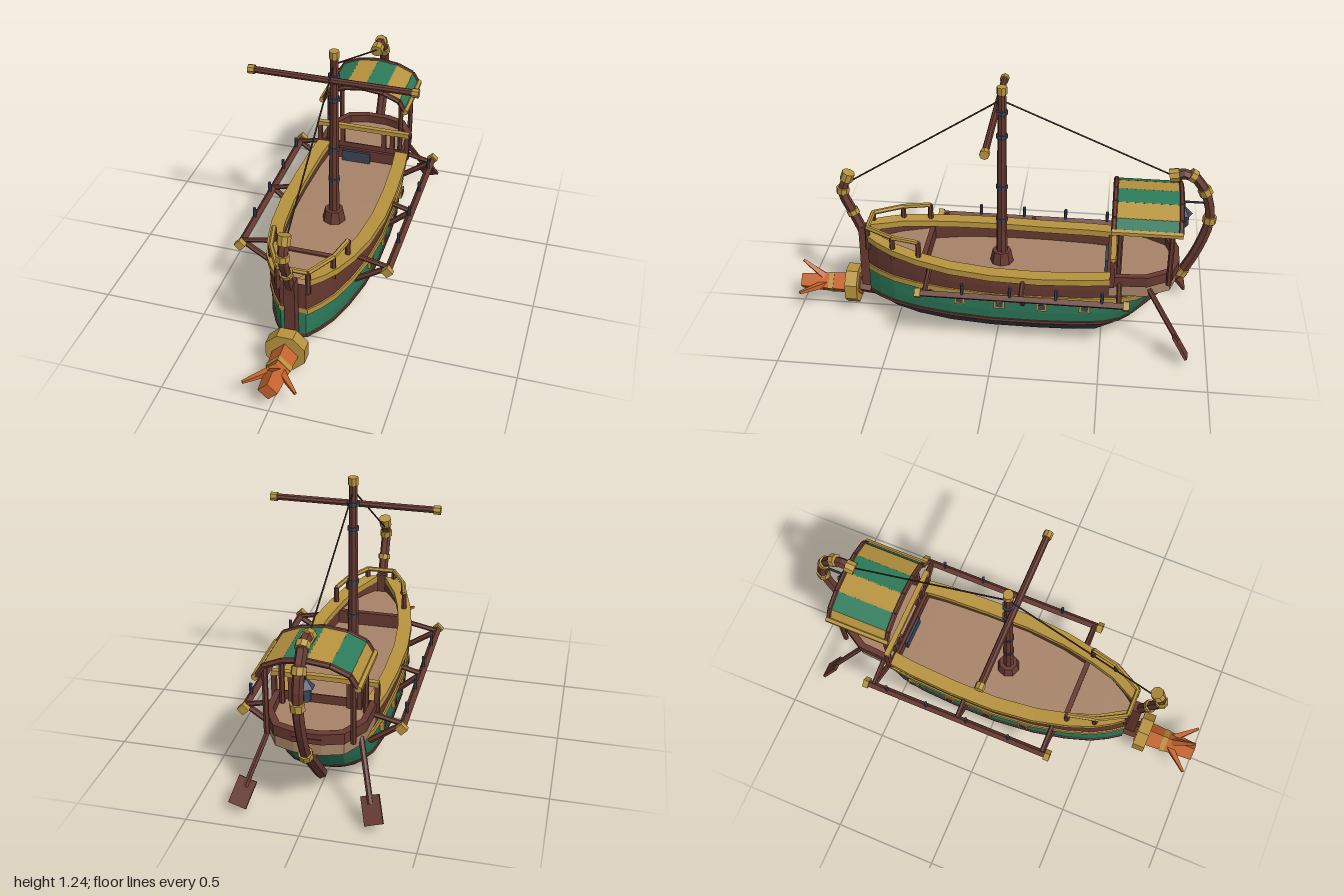
import * as THREE from 'three';

const paint = (name, color) => {
  const m = new THREE.MeshStandardMaterial({ color, flatShading: true });
  m.name = name;
  return m;
};
const wood = paint('red brown wood', 0x663930), gold = paint('gold', 0xb8943f), green = paint('green', 0x2d7b5b);
const keelGrey = paint('charcoal', 0x393b46), deckTan = paint('deck tan', 0xa88469), copper = paint('copper', 0xc5642d);
const iron = paint('iron', 0x3b4556), rope = paint('rope', 0x3d3029);

// Hull stations: z, half width, sheer height, keel height
const STATIONS = [
  [0.64, 0.06, 0.43, 0.12], [0.58, 0.105, 0.42, 0.1], [0.5, 0.15, 0.41, 0.05], [0.38, 0.19, 0.395, 0.02],
  [0.22, 0.225, 0.38, 0.005], [0.02, 0.245, 0.37, 0], [-0.2, 0.245, 0.365, 0], [-0.42, 0.235, 0.37, 0],
  [-0.6, 0.215, 0.375, 0], [-0.72, 0.175, 0.38, 0.04], [-0.8, 0.12, 0.385, 0.09], [-0.83, 0.06, 0.39, 0.12],
];
function at(z, k) {
  let i = 0;
  while (i < STATIONS.length - 2 && STATIONS[i + 1][0] > z) i++;
  const a = STATIONS[i], b = STATIONS[i + 1];
  return THREE.MathUtils.lerp(a[k], b[k], THREE.MathUtils.clamp((a[0] - z) / (a[0] - b[0]), 0, 1));
}
// The stern rakes aft as it rises
const rake = (z, y) => (z > -0.3 ? z : -0.3 + (z + 0.3) * (0.26 + 0.75 * y) / 0.53);

// Skin over rows of points, rows running from bow to stern
function loft(rows, flip) {
  const n = rows[0].length, index = [];
  for (let i = 0; i < rows.length - 1; i++) for (let j = 0; j < n - 1; j++) {
    const a = i * n + j, b = a + 1, c = a + n, d = c + 1;
    index.push(...(flip ? [a, b, c, b, d, c] : [a, c, b, b, c, d]));
  }
  const g = new THREE.BufferGeometry();
  g.setAttribute('position', new THREE.Float32BufferAttribute(rows.flat(2), 3));
  g.setIndex(index);
  g.computeVertexNormals();
  return g;
}

export function createModel() {
  const ship = new THREE.Group();
  ship.name = 'galley';
  const V = (p) => new THREE.Vector3(...p);
  const add = (name, geo, mat, pos = [0, 0, 0]) => {
    const m = new THREE.Mesh(geo, mat);
    m.name = name;
    m.position.set(...pos);
    ship.add(m);
    return m;
  };
  const box = (name, mat, size, pos) => add(name, new THREE.BoxGeometry(...size), mat, pos);
  // Round or faceted rod between two points
  function bar(name, mat, a, b, r, sides = 8, r2 = r, turn = 0) {
    const A = V(a), B = V(b), d = B.clone().sub(A);
    const g = new THREE.CylinderGeometry(r2, r, d.length(), sides).rotateY(turn);
    const m = add(name, g, mat, A.clone().add(B).multiplyScalar(0.5).toArray());
    m.quaternion.setFromUnitVectors(new THREE.Vector3(0, 1, 0), d.normalize());
    return m;
  }

  // Hull bands; section(width, sheer, keel) gives [x, y] from low to high
  function band(name, mat, section) {
    for (const s of [1, -1]) {
      const rows = STATIONS.map(([z, w, sh, k]) => section(w, sh, k).map(([x, y]) => [s * x, y, rake(z, y)]));
      const close = (row) => row.map(([, y, z]) => [0, y, z]);
      rows.unshift(close(rows[0]));
      rows.push(close(rows[rows.length - 1]));
      add(name, loft(rows, s < 0), mat);
    }
  }
  band('hullBottom', keelGrey, (w, sh, k) => [[0, 0], [0.42, 0.12], [0.77, 0.5], [0.95, 1]].map(([x, f]) => [x * w, k + (0.13 - k) * f]));
  band('hullSide', green, (w) => [[0.95 * w, 0.13], [0.985 * w, 0.19], [w, 0.265]]);
  band('upperPlanking', wood, (w, sh) => [[w, 0.28], [w * 1.01, 0.33], [w, sh]]);
  const strake = (x, lo, hi) => [[x - 0.005, lo], [x + 0.007, lo + 0.003], [x + 0.007, hi - 0.003], [x - 0.005, hi]];
  band('waterlineStrake', wood, (w) => strake(0.95 * w, 0.122, 0.142));
  band('goldStrake', gold, (w) => strake(w, 0.255, 0.29));

  // Gunwale cap and inner bulwark
  const rimZ = [0.64, 0.58, 0.5, 0.38, 0.22, 0.02, -0.2, -0.42, -0.53];
  for (const s of [1, -1]) {
    const rim = rimZ.map((z) => {
      const w = at(z, 1), y = at(z, 2), i = Math.max(w - 0.05, 0.02), o = w + 0.017;
      return [[o, y - 0.004], [o, y + 0.028], [i, y + 0.028], [i, y - 0.004], [o, y - 0.004]].map(([x, h]) => [s * x, h, z]);
    });
    add('gunwale', loft(rim, s < 0), gold);
    const wall = rimZ.map((z) => [[s * (at(z, 1) - 0.04), at(z, 2), z], [s * (at(z, 1) - 0.04), 0.3, z]]);
    add('innerBulwark', loft(wall, s < 0), wood);
  }

  // Decks
  const deck = (name, zs, y) => add(name, loft(zs.map((z) => [[at(z, 1) - 0.015, y, z], [0.015 - at(z, 1), y, z]])), deckTan);
  deck('mainDeck', [0.36, 0.22, 0.02, -0.2, -0.42, -0.54], 0.315);
  deck('foredeck', [0.63, 0.58, 0.5, 0.38, 0.36], 0.375);
  box('foredeckBeam', wood, [0.33, 0.075, 0.025], [0, 0.345, 0.357]);

  // Raised stern deck with its low bulwark
  const poop = [[0.225, 0.53], [0.215, 0.7], [0.15, 0.81], [0.06, 0.84]];
  const outline = (k) => [...poop, ...poop.map(([x, z]) => [-x, z]).reverse()].map(([x, z]) => new THREE.Vector2(x * k, 0.53 + (z - 0.53) * k));
  const flat = (shape, h) => new THREE.ExtrudeGeometry(shape, { depth: h, bevelEnabled: false }).rotateX(-Math.PI / 2);
  add('sternDeck', flat(new THREE.Shape(outline(1)), 0.065), deckTan, [0, 0.305, 0]);
  const wallShape = new THREE.Shape(outline(1.03));
  wallShape.holes.push(new THREE.Path(outline(0.9).map((p) => p.add(new THREE.Vector2(0, 0.006)))));
  add('sternBulwark', flat(wallShape, 0.05), wood, [0, 0.362, 0]);
  box('sternStepBeam', wood, [0.43, 0.06, 0.02], [0, 0.355, -0.525]);
  box('sternHatch', iron, [0.15, 0.06, 0.016], [-0.03, 0.345, -0.511]);

  // Stem and stern posts: faceted curved timbers with gold bands
  function post(name, pts, r, bands) {
    const curve = new THREE.CatmullRomCurve3(pts.map(([z, y]) => new THREE.Vector3(0, y, z)));
    add(name, new THREE.TubeGeometry(curve, 12, r, 6), wood);
    for (const [t, len] of bands) {
      const p = curve.getPointAt(t), d = curve.getTangentAt(t).multiplyScalar(len / 2);
      bar(name + 'Band', gold, p.clone().sub(d).toArray(), p.clone().add(d).toArray(), r + 0.007, 8);
    }
  }
  box('stem', wood, [0.05, 0.36, 0.05], [0, 0.285, 0.665]);
  post('stemPost', [[0.67, 0.43], [0.715, 0.54], [0.757, 0.65], [0.728, 0.74]], 0.024, [[0.36, 0.025], [0.74, 0.03], [0.98, 0.045]]);
  bar('sternKnee', wood, [0, 0.07, -0.63], [0, 0.33, -0.87], 0.028, 6);
  post('sternPost', [[-0.86, 0.3], [-0.93, 0.45], [-0.972, 0.62], [-0.94, 0.76], [-0.87, 0.843], [-0.785, 0.835]], 0.025,
    [[0.03, 0.035], [0.49, 0.035], [0.71, 0.035], [0.86, 0.03], [0.985, 0.045]]);

  // Ram: collar, copper head and three spikes
  bar('ramRoot', wood, [0, 0.1, 0.56], [0, 0.12, 0.72], 0.045, 4);
  bar('ramCollar', gold, [0, 0.125, 0.705], [0, 0.125, 0.765], 0.098, 8, 0.098, Math.PI / 8);
  bar('ramHead', copper, [0, 0.12, 0.7], [0, 0.115, 1], 0.066, 4, 0.045);
  bar('ramBand', gold, [0, 0.118, 0.835], [0, 0.118, 0.86], 0.06, 4, 0.058);
  for (const [x, y] of [[0.12, 0.125], [-0.12, 0.125], [0, 0.24]])
    bar('ramSpike', copper, [x * 0.2, 0.12 + (y - 0.12) * 0.2, 0.88], [x, y, 0.985], 0.022, 4, 0.008);

  // Mast, yard and stays
  bar('mast', wood, [0, 0.31, -0.005], [0, 1.21, -0.005], 0.027, 8, 0.019);
  bar('mastStep', wood, [0, 0.31, -0.005], [0, 0.375, -0.005], 0.058, 8, 0.045);
  bar('mastCap', gold, [0, 1.2, -0.005], [0, 1.235, -0.005], 0.024);
  for (const y of [0.55, 0.725, 0.99, 1.11]) bar('mastBand', iron, [0, y - 0.009, -0.005], [0, y + 0.009, -0.005], 0.028);
  bar('yard', wood, [-0.385, 1.1, 0.025], [0.385, 1.1, 0.025], 0.016);
  for (const s of [1, -1]) bar('yardCap', gold, [s * 0.365, 1.1, 0.025], [s * 0.396, 1.1, 0.025], 0.022);
  bar('foreStay', rope, [0, 1.17, 0], [0, 0.69, 0.745], 0.004, 5);
  bar('backStay', rope, [0, 1.17, 0], [0, 0.835, -0.785], 0.004, 5);

  // Bow railing
  const railPts = [[0.175, 0.37], [0.145, 0.5], [0.07, 0.635]];
  const railLine = [...railPts, ...railPts.map(([x, z]) => [-x, z]).reverse()];
  railLine.forEach(([x, z], i) => {
    bar('bowRailPost', wood, [x, 0.38, z], [x, 0.497, z], 0.013, 6);
    if (i) bar('bowRail', gold, [railLine[i - 1][0], 0.497, railLine[i - 1][1]], [x, 0.497, z], 0.012, 6);
  });

  // Railing across the stern deck edge
  box('sternRail', gold, [0.48, 0.022, 0.025], [0, 0.504, -0.54]);
  for (const x of [-0.232, -0.155, -0.11, 0.11, 0.155, 0.232]) box('sternRailPost', wood, [0.022, 0.14, 0.022], [x, 0.43, -0.54]);

  // Striped canopy on four posts
  const arch = [[-0.212, 0.65], [-0.182, 0.7], [-0.1, 0.735], [0, 0.747], [0.1, 0.735], [0.182, 0.7], [0.212, 0.65]];
  for (let i = 0; i < 6; i++) {
    const [x1, y1] = arch[i], [x2, y2] = arch[i + 1];
    const cloth = box('canopyStripe', i % 2 ? green : gold, [Math.hypot(x2 - x1, y2 - y1) + 0.004, 0.009, 0.3], [(x1 + x2) / 2, (y1 + y2) / 2, -0.685]);
    cloth.rotation.z = Math.atan2(y2 - y1, x2 - x1);
    for (const z of [-0.535, -0.835]) bar('canopyArch', wood, [x1, y1, z], [x2, y2, z], 0.013, 6);
  }

  for (const s of [1, -1]) {
    bar('canopyEave', gold, [s * 0.217, 0.647, -0.525], [s * 0.217, 0.647, -0.845], 0.016, 6);
    for (const z of [-0.567, -0.8]) bar('canopyPost', wood, [s * 0.188, 0.36, z], [s * 0.188, 0.68, z], 0.013, 6);

    // Outrigger rail with struts and thole pins
    bar('outrigger', wood, [s * 0.355, 0.34, -0.61], [s * 0.355, 0.34, 0.35], 0.018, 4);
    for (const z of [-0.61, 0.345]) bar('outriggerCap', gold, [s * 0.355, 0.34, z - 0.014], [s * 0.355, 0.34, z + 0.014], 0.028, 4);
    for (const z of [-0.575, -0.13, 0.315]) {
      bar('outriggerBrace', wood, [s * (at(z, 1) - 0.01), 0.235, z], [s * 0.352, 0.338, z], 0.014, 6);
      bar('outriggerArm', wood, [s * (at(z, 1) - 0.01), 0.375, z], [s * 0.352, 0.342, z], 0.012, 6);
    }
    for (const z of [0.14, -0.08, -0.29, -0.5]) bar('tholePin', iron, [s * 0.355, 0.345, z], [s * 0.355, 0.405, z], 0.008, 6);

    // Oar ports
    for (const z of [0.17, -0.02, -0.22, -0.42]) {
      const x = at(z, 1);
      box('oarPortFrame', gold, [0.02, 0.045, 0.052], [s * x, 0.232, z]);
      box('oarPort', iron, [0.008, 0.026, 0.032], [s * (x + 0.009), 0.232, z]);
    }

    // Steering oar
    bar('steeringOar', wood, [s * 0.2, 0.34, -0.71], [s * 0.275, 0.11, -0.86], 0.013, 6);
    const blade = box('oarBlade', wood, [0.082, 0.125, 0.014], [s * 0.284, 0.088, -0.872]);
    blade.quaternion.setFromUnitVectors(new THREE.Vector3(0, 1, 0), new THREE.Vector3(-s * 0.075, 0.23, 0.15).normalize());
  }

  // Stern lantern on a bracket
  bar('lanternBracket', iron, [0, 0.7, -0.955], [0, 0.7, -0.845], 0.006, 6);
  bar('lanternHook', iron, [0, 0.7, -0.852], [0, 0.655, -0.852], 0.005, 6);
  bar('lanternRoof', iron, [0, 0.638, -0.852], [0, 0.672, -0.852], 0.042, 6, 0.008);
  bar('lanternBody', iron, [0, 0.575, -0.852], [0, 0.64, -0.852], 0.026, 6);
  return ship;
}
